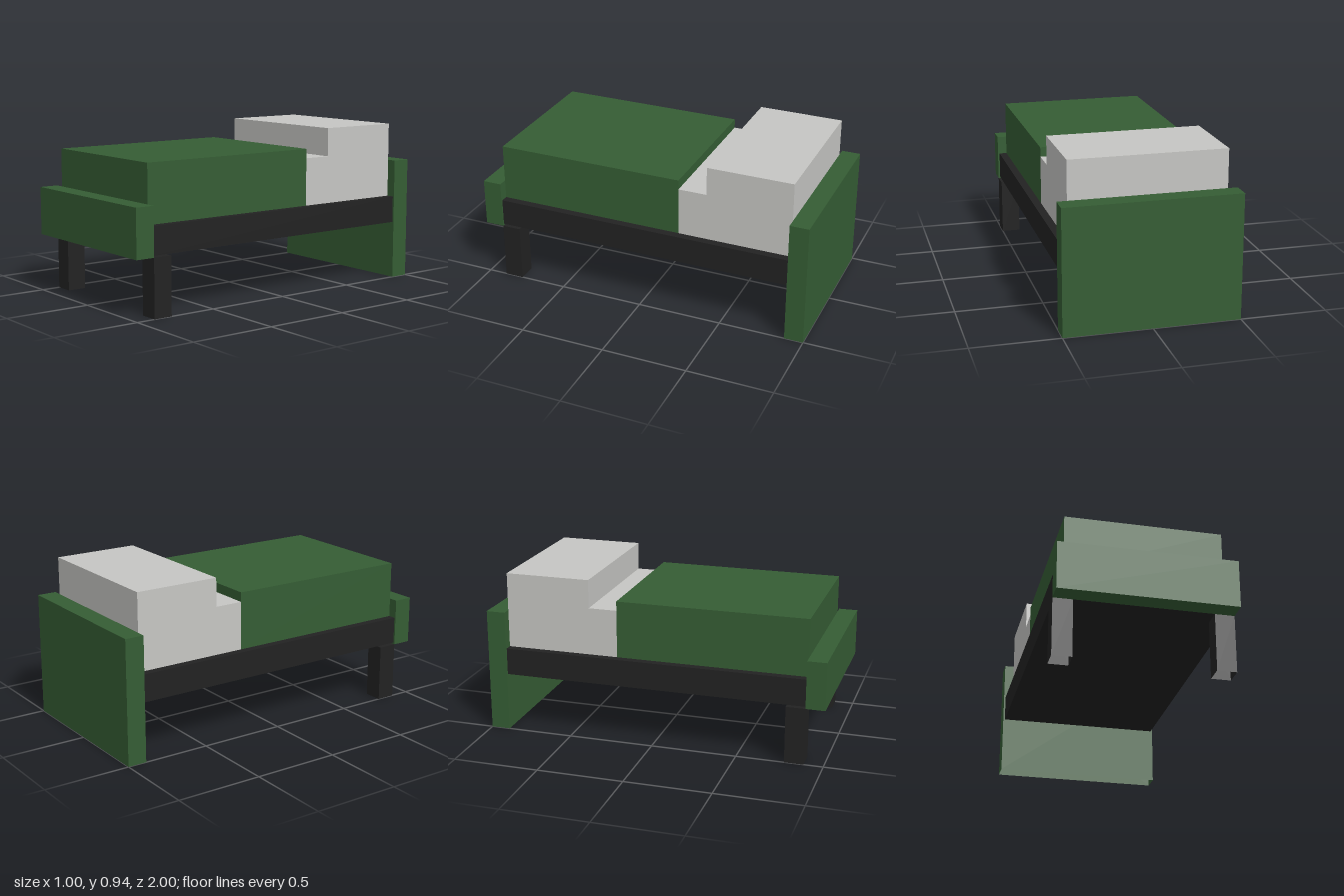
import * as THREE from 'three';

const material = (name, color) =>
  new THREE.MeshStandardMaterial({ name, color, side: THREE.DoubleSide });

// Box given by its extents; openBottom leaves out the underside
function block(name, mat, [x0, x1], [y0, y1], [z0, z1], openBottom = false) {
  const geometry = new THREE.BoxGeometry(x1 - x0, y1 - y0, z1 - z0);
  if (openBottom) {
    const index = Array.from(geometry.index.array);
    index.splice(18, 6);
    geometry.setIndex(index);
    geometry.clearGroups();
  }
  geometry.translate((x0 + x1) / 2, (y0 + y1) / 2, (z0 + z1) / 2);
  const mesh = new THREE.Mesh(geometry, mat);
  mesh.name = name;
  return mesh;
}

export function createModel() {
  const green = material('green', 0x355d34);
  const black = material('black', 0x222222);
  const linen = material('linen', 0xc6c6c3);
  const bed = new THREE.Group();
  bed.name = 'bed';

  const end = [-0.5, 0.5];
  const bedding = [-0.444, 0.444];

  // Head and foot boards
  bed.add(block('headboard', green, end, [0, 0.722], [-1, -0.889], true));
  bed.add(block('footboard', green, end, [0.333, 0.611], [0.889, 1]));

  // Frame and front legs
  bed.add(block('frame', black, [-0.49, 0.49], [0.342, 0.5], [-0.889, 0.889]));
  bed.add(block('leftLeg', black, [0.389, 0.5], [0, 0.333], [0.778, 0.889], true));
  bed.add(block('rightLeg', black, [-0.5, -0.389], [0, 0.333], [0.778, 0.889], true));

  // Bedding
  bed.add(block('blanket', green, bedding, [0.5, 0.833], [-0.222, 0.889]));

  // Pillow and sheet share one stepped side profile, drawn as (-z, y)
  const profile = new THREE.Shape([
    [0.222, 0.5], [0.889, 0.5], [0.889, 0.944],
    [0.389, 0.944], [0.389, 0.778], [0.222, 0.778],
  ].map(([x, y]) => new THREE.Vector2(x, y)));
  const pillowGeometry = new THREE.ExtrudeGeometry(profile, { depth: 0.888, bevelEnabled: false });
  pillowGeometry.translate(0, 0, -0.444).rotateY(Math.PI / 2);
  const pillow = new THREE.Mesh(pillowGeometry, linen);
  pillow.name = 'pillowAndSheet';
  bed.add(pillow);

  return bed;
}
